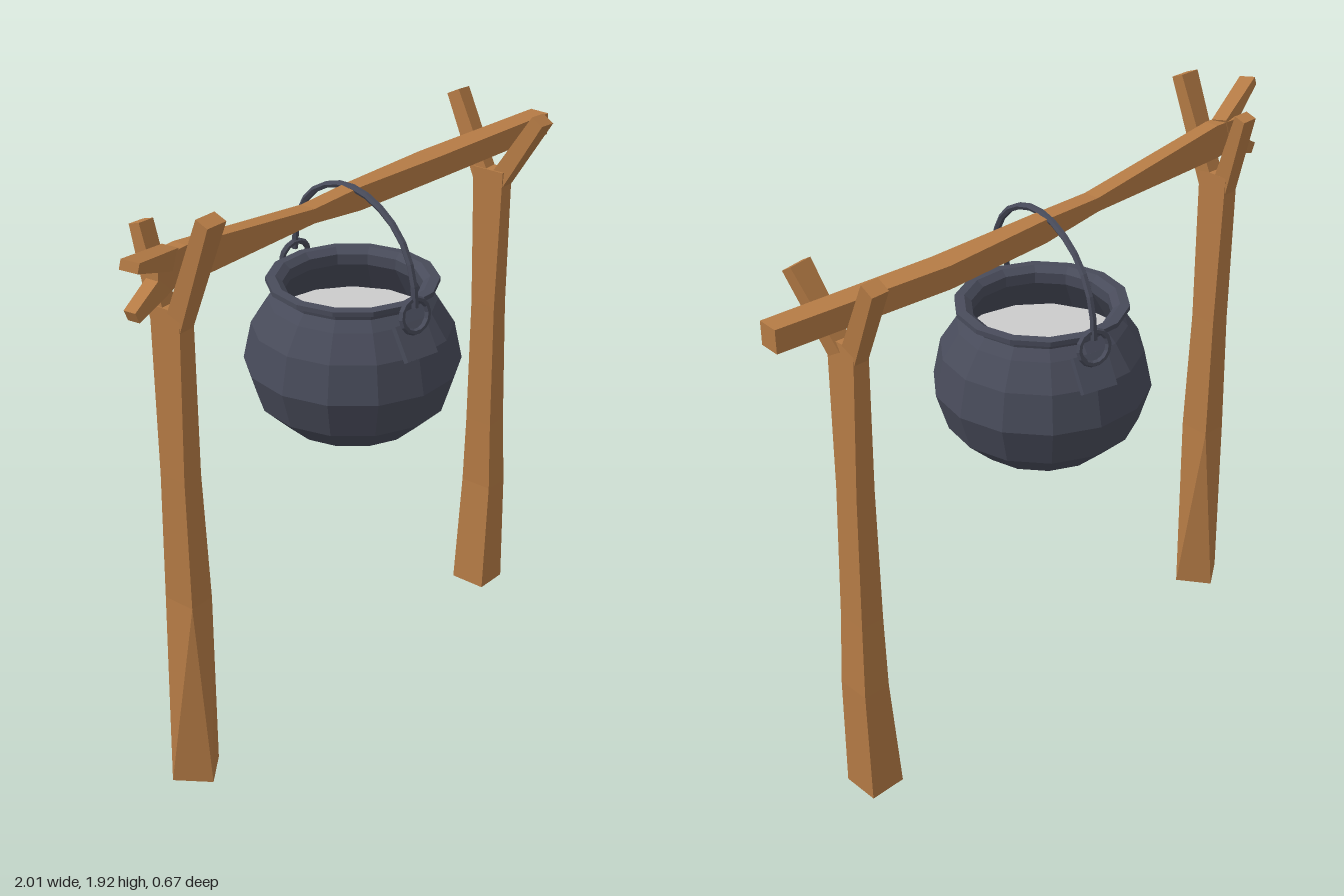
import * as THREE from 'three';

const wood = new THREE.MeshStandardMaterial({ color: 0xb57b45, flatShading: true });
const iron = new THREE.MeshStandardMaterial({ color: 0x484b5a, flatShading: true });
const stew = new THREE.MeshStandardMaterial({ color: 0xcccccc, flatShading: true });

function add(parent, name, geometry, material) {
  const mesh = new THREE.Mesh(geometry, material);
  mesh.name = name;
  parent.add(mesh);
  return mesh;
}

// Four-sided timber lofted through stations [x, y, z, half width along side, half depth, twist]
function timber(parent, name, side, stations) {
  const centres = stations.map(s => new THREE.Vector3(s[0], s[1], s[2]));
  const last = stations.length - 1;
  const positions = [], index = [];
  stations.forEach(([, , , a, b, twist = 0], i) => {
    const t = centres[Math.min(i + 1, last)].clone().sub(centres[Math.max(i - 1, 0)]).normalize();
    const u = side.clone().addScaledVector(t, -side.dot(t)).normalize().applyAxisAngle(t, twist);
    const v = t.clone().cross(u);
    for (const [p, q] of [[1, 1], [-1, 1], [-1, -1], [1, -1]]) {
      positions.push(...centres[i].clone().addScaledVector(u, p * a).addScaledVector(v, q * b).toArray());
    }
    if (i === last) return;
    for (let j = 0; j < 4; j++) {
      const k = (j + 1) % 4, o = i * 4;
      index.push(o + j, o + k, o + 4 + k, o + j, o + 4 + k, o + 4 + j);
    }
  });
  const e = last * 4;
  index.push(0, 2, 1, 0, 3, 2, e, e + 1, e + 2, e, e + 2, e + 3);
  const geometry = new THREE.BufferGeometry();
  geometry.setAttribute('position', new THREE.Float32BufferAttribute(positions, 3));
  geometry.setIndex(index);
  const flat = geometry.toNonIndexed();
  flat.computeVertexNormals();
  return add(parent, name, flat, wood);
}

export function createModel() {
  const model = new THREE.Group();
  model.name = 'cauldronOnFrame';
  const X = new THREE.Vector3(1, 0, 0), Z = new THREE.Vector3(0, 0, 1);

  // Forked post on the model's left
  const leftPost = new THREE.Group();
  leftPost.name = 'leftPost';
  model.add(leftPost);
  timber(leftPost, 'leftTrunk', X, [
    [0.76, 0, 0, 0.06, 0.063], [0.775, 0.4, 0, 0.046, 0.057],
    [0.77, 0.65, 0, 0.04, 0.05], [0.763, 1.1, 0, 0.033, 0.046], [0.757, 1.58, 0, 0.026, 0.058]]);
  timber(leftPost, 'leftFrontProng', X, [[0.76, 1.54, 0.028, 0.026, 0.03], [0.79, 1.765, 0.162, 0.036, 0.023]]);
  timber(leftPost, 'leftBackProng', X, [[0.757, 1.54, -0.025, 0.024, 0.032], [0.777, 1.805, -0.16, 0.028, 0.025]]);

  // Forked post on the model's right, twisted at its foot
  const rightPost = new THREE.Group();
  rightPost.name = 'rightPost';
  model.add(rightPost);
  timber(rightPost, 'rightTrunk', X, [
    [-0.745, 0.05, 0, 0.0625, 0.0625, 0.61], [-0.74, 0.68, 0, 0.042, 0.053],
    [-0.748, 1.1, 0, 0.034, 0.046], [-0.753, 1.62, 0, 0.027, 0.055]]);
  timber(rightPost, 'rightFrontProng', X, [[-0.753, 1.57, 0.025, 0.026, 0.03], [-0.755, 1.905, 0.16, 0.036, 0.022]]);
  timber(rightPost, 'rightBackProng', X, [[-0.753, 1.57, -0.025, 0.025, 0.03], [-0.745, 1.835, -0.105, 0.027, 0.02]]);

  // Crossbeam with a forked end
  const crossbeam = new THREE.Group();
  crossbeam.name = 'crossbeam';
  model.add(crossbeam);
  timber(crossbeam, 'beam', Z, [
    [-0.83, 1.74, 0.01, 0.023, 0.045], [-0.72, 1.735, 0.006, 0.024, 0.055],
    [-0.17, 1.7, -0.01, 0.027, 0.022], [0.05, 1.687, -0.015, 0.028, 0.037],
    [0.43, 1.677, -0.018, 0.04, 0.036], [1, 1.675, 0.015, 0.035, 0.036]]);
  timber(crossbeam, 'upperBranch', Z, [[-0.76, 1.763, 0.005, 0.024, 0.032], [-0.99, 1.838, 0.095, 0.026, 0.014]]);
  timber(crossbeam, 'lowerBranch', Z, [[-0.77, 1.72, 0.008, 0.022, 0.035], [-0.92, 1.652, 0.02, 0.02, 0.018]]);

  // Cauldron, turned slightly about its axis
  const cauldron = new THREE.Group();
  cauldron.name = 'cauldron';
  cauldron.position.x = 0.027;
  cauldron.rotation.y = -0.22;
  model.add(cauldron);
  const profile = [
    [0, 0.915], [0.1, 0.92], [0.215, 0.97], [0.3, 1.05], [0.337, 1.17], [0.312, 1.29],
    [0.26, 1.37], [0.232, 1.4], [0.235, 1.415], [0.265, 1.425], [0.265, 1.44],
    [0.235, 1.442], [0.213, 1.425], [0.213, 1.39], [0.28, 1.28], [0.29, 1.17], [0, 1.05]];
  add(cauldron, 'pot', new THREE.LatheGeometry(profile.map(p => new THREE.Vector2(...p)), 14), iron);
  const contents = add(cauldron, 'contents', new THREE.CircleGeometry(0.268, 14), stew);
  contents.rotation.x = -Math.PI / 2;
  contents.position.y = 1.29;

  // Lug plates and rings on opposite sides
  for (const [name, turn] of [['frontLug', 0], ['backLug', Math.PI]]) {
    const lug = new THREE.Group();
    lug.name = name;
    lug.rotation.y = turn;
    cauldron.add(lug);
    const plate = add(lug, 'lugPlate', new THREE.BoxGeometry(0.115, 0.11, 0.02), iron);
    plate.position.set(0, 1.335, 0.292);
    plate.rotation.x = -0.58;
    const ring = add(lug, 'lugRing', new THREE.TorusGeometry(0.05, 0.01, 6, 14), iron);
    ring.position.set(0, 1.415, 0.29);
    ring.rotation.x = -0.15;
  }

  // Arched carrying handle over the beam
  const arch = [[-0.29, 1.44], [-0.275, 1.54], [-0.215, 1.64], [-0.11, 1.705], [0, 1.725],
    [0.11, 1.705], [0.215, 1.64], [0.275, 1.54], [0.29, 1.44]];
  const path = new THREE.CatmullRomCurve3(arch.map(([z, y]) => new THREE.Vector3(0, y, z)));
  add(cauldron, 'handle', new THREE.TubeGeometry(path, 14, 0.011, 6), iron);

  return model;
}
